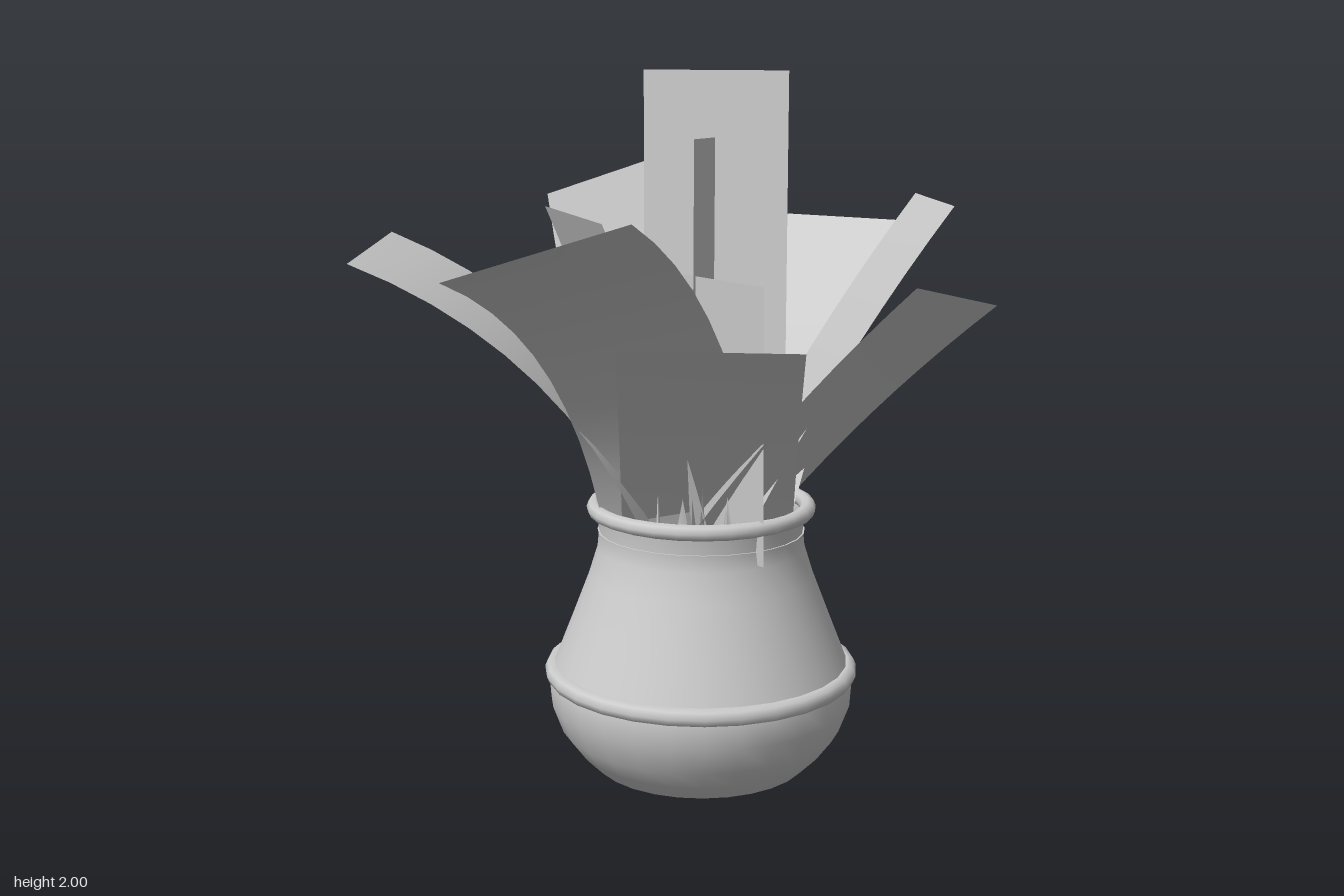
import * as THREE from 'three';

const CX = 0.055, CZ = -0.055; // axis of the pot
const mat = new THREE.MeshStandardMaterial({ color: 0xcccccc, side: THREE.DoubleSide });

function add(group, name, geometry, x = 0, y = 0, z = 0) {
  const mesh = new THREE.Mesh(geometry, mat);
  mesh.name = name;
  mesh.position.set(x, y, z);
  group.add(mesh);
  return mesh;
}

function lathe(points) {
  return new THREE.LatheGeometry(points.map(([r, y]) => new THREE.Vector2(r, y)), 28);
}

// Rectangular leaf: tip corners a and b, base centre [x, z], bow > 0 arches over, < 0 curls up
function leafGeometry(a, b, base, bow) {
  const hx = (a[0] - b[0]) / 2, hz = (a[2] - b[2]) / 2, y0 = 0.66, rows = 10;
  const edge = (tip, s) => {
    const p0 = new THREE.Vector3(base[0] + s * hx, y0, base[1] + s * hz);
    const p2 = new THREE.Vector3(...tip);
    const h = 0.5 - bow, v = 0.5 + bow;
    const p1 = new THREE.Vector3(
      p0.x + (p2.x - p0.x) * h, p0.y + (p2.y - p0.y) * v, p0.z + (p2.z - p0.z) * h);
    return new THREE.QuadraticBezierCurve3(p0, p1, p2).getPoints(rows);
  };
  const left = edge(a, 1), right = edge(b, -1);
  const g = new THREE.PlaneGeometry(1, 1, 1, rows);
  for (let i = 0; i <= rows; i++) {
    g.attributes.position.setXYZ(2 * i, ...left[rows - i]);
    g.attributes.position.setXYZ(2 * i + 1, ...right[rows - i]);
  }
  g.computeVertexNormals();
  return g;
}

export function createModel() {
  const model = new THREE.Group();
  model.name = 'pottedPlant';

  // Pot: rounded bowl, tapering shoulder, two rings
  const pot = new THREE.Group();
  pot.name = 'pot';
  pot.position.set(CX, 0, CZ);
  model.add(pot);
  add(pot, 'potBase', new THREE.CircleGeometry(0.315, 28).rotateX(Math.PI / 2), 0, 0.002, 0);
  add(pot, 'bowl', lathe([[0.315, 0], [0.365, 0.05], [0.41, 0.11], [0.44, 0.19], [0.445, 0.26], [0.43, 0.3]]));
  add(pot, 'shoulder', lathe([[0.43, 0.3], [0.375, 0.44], [0.325, 0.57], [0.3, 0.65], [0.295, 0.7], [0.305, 0.77]]));
  add(pot, 'bellyRing', new THREE.TorusGeometry(0.43, 0.027, 8, 28).rotateX(Math.PI / 2), 0, 0.283, 0);
  add(pot, 'rim', new THREE.TorusGeometry(0.308, 0.023, 8, 28).rotateX(Math.PI / 2), 0, 0.767, 0);
  add(pot, 'soil', new THREE.CircleGeometry(0.3, 28).rotateX(-Math.PI / 2), 0, 0.7, 0);

  // Broad leaves: tip corner, tip corner, base centre, bow
  const leaves = [
    [[-0.44, 1.53, -0.84], [0.01, 1.53, -0.97], [0.03, -0.13], 0.16],
    [[0.21, 1.64, -0.75], [0.60, 1.64, -0.49], [0.08, -0.12], 0.05],
    [[0.66, 1.365, -0.61], [0.77, 1.46, -0.17], [0.1, -0.09], 0.05],
    [[0.64, 1.30, 0.09], [0.34, 1.31, 0.47], [0.1, -0.04], 0.06],
    [[0.63, 1.66, 0.64], [0.32, 1.52, 0.97], [0.09, 0.03], 0.25],
    [[-0.73, 1.53, 0.48], [-0.39, 1.49, 0.82], [0.0, 0.03], 0.22],
    [[-0.77, 1.61, -0.11], [-0.455, 1.76, -0.42], [-0.04, -0.12], -0.12],
    [[-0.20, 2.0, -0.05], [0.265, 2.0, -0.185], [0.04, -0.11], 0],
    [[-0.30, 1.62, 0.23], [0.155, 1.61, 0.37], [0.02, -0.02], 0.06],
    [[0.17, 1.82, 0.07], [-0.10, 1.81, -0.31], [0.04, -0.11], 0],
    [[-0.08, 1.46, 0.09], [0.40, 1.44, 0.02], [0.13, 0.02], 0],
  ];
  const foliage = new THREE.Group();
  foliage.name = 'foliage';
  model.add(foliage);
  leaves.forEach((l, i) => add(foliage, 'leaf' + (i + 1), leafGeometry(...l)));

  // Small pointed shoots around the stems: x, z, tip height
  const shoots = [[-0.14, 0.05, 0.96], [0.2, -0.12, 1.1], [0.1, 0.14, 0.86], [0.16, 0.1, 0.83],
    [0.22, 0.08, 0.87], [0.28, 0.04, 0.85], [0.32, -0.02, 0.83], [0.24, -0.1, 0.95], [0.2, 0.0, 0.84]];
  shoots.forEach(([x, z, top], i) => {
    const h = top - 0.69;
    const shoot = add(foliage, 'shoot' + (i + 1),
      new THREE.ConeGeometry(0.03, h, 3), x, 0.69 + h / 2, z);
    shoot.scale.z = 0.3;
    shoot.rotation.y = i * 1.3;
  });

  return model;
}
